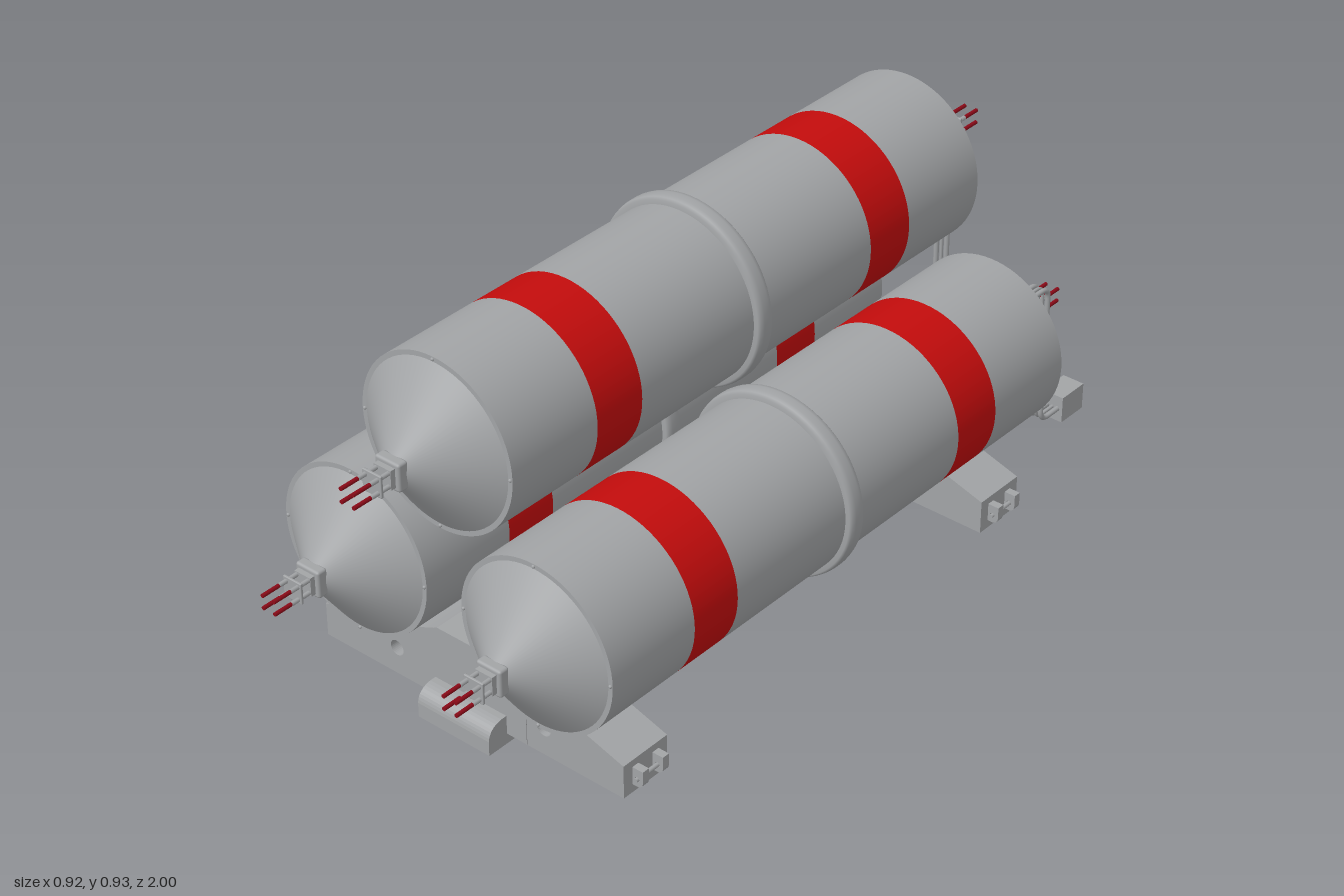
import * as THREE from 'three';
import { RoundedBoxGeometry } from 'three/addons/geometries/RoundedBoxGeometry.js';

const grey = new THREE.MeshStandardMaterial({ color: 0xa2a4a6 });
grey.name = 'grey steel';
const red = new THREE.MeshStandardMaterial({ color: 0xc40c0c });
red.name = 'red band';
const darkRed = new THREE.MeshStandardMaterial({ color: 0x8c0a18 });
darkRed.name = 'dark red terminal';

const R = 0.197;

function add(parent, name, geometry, material, x = 0, y = 0, z = 0) {
  const mesh = new THREE.Mesh(geometry, material);
  mesh.name = name;
  mesh.position.set(x, y, z);
  parent.add(mesh);
  return mesh;
}

// Open or closed cylinder running along z from z0 to z1
function zCylinder(r0, r1, z0, z1, sides = 72, open = true) {
  return new THREE.CylinderGeometry(r1, r0, z1 - z0, sides, 1, open)
    .rotateX(Math.PI / 2).translate(0, 0, (z0 + z1) / 2);
}

// Cone, terminal block and four wires, built facing +z from the shell edge
function tankEnd() {
  const end = new THREE.Group();
  add(end, 'endRim', new THREE.RingGeometry(0.186, R, 72), grey);
  add(end, 'endCone', zCylinder(0.186, 0.03, 0, 0.115), grey);
  for (let i = 0; i < 4; i++) {
    const a = i * Math.PI / 2;
    add(end, 'rivet', new THREE.SphereGeometry(0.004, 8, 6), grey, Math.cos(a) * 0.191, Math.sin(a) * 0.191, 0);
  }
  add(end, 'terminalBlock', new RoundedBoxGeometry(0.064, 0.064, 0.026, 2, 0.006), grey, 0, 0, 0.121);
  add(end, 'terminalNeck', new THREE.BoxGeometry(0.044, 0.044, 0.012), grey, 0, 0, 0.14);
  add(end, 'terminalPlate', new RoundedBoxGeometry(0.05, 0.05, 0.006, 2, 0.002), grey, 0, 0, 0.172);
  for (const x of [-0.016, 0.016]) {
    for (const y of [-0.015, 0.015]) {
      add(end, 'terminalRod', zCylinder(0.005, 0.005, 0.13, 0.195, 10, false), grey, x, y);
      add(end, 'terminalWire', zCylinder(0.0045, 0.0045, 0.195, 0.24, 10, false), darkRed, x, y);
    }
  }
  return end;
}

function tank(name, x, y) {
  const g = new THREE.Group();
  g.name = name;
  g.position.set(x, y, 0);
  const cuts = [-0.7, -0.46, -0.33, 0.39, 0.52, 0.76];
  for (let i = 0; i < 5; i++) {
    add(g, i % 2 ? 'redBand' : 'shell', zCylinder(R, R, cuts[i], cuts[i + 1]), i % 2 ? red : grey);
  }
  // Girth ring with rounded outer edges
  const ring = [[0.19, -0.022], [0.207, -0.022], [0.212, -0.017], [0.214, -0.008], [0.214, 0.008],
    [0.212, 0.017], [0.207, 0.022], [0.19, 0.022]].map(p => new THREE.Vector2(...p));
  add(g, 'girthRing', new THREE.LatheGeometry(ring, 72).rotateX(Math.PI / 2), grey, 0, 0, 0.028);
  const front = tankEnd();
  front.name = 'frontEnd';
  front.position.z = 0.76;
  const back = tankEnd();
  back.name = 'backEnd';
  back.position.z = -0.7;
  back.rotation.y = Math.PI;
  g.add(front, back);
  return g;
}

// Tube path of straight runs joined by rounded corners
function roundedPath(points, r) {
  const path = new THREE.CurvePath();
  let from = points[0];
  for (let i = 1; i < points.length - 1; i++) {
    const p = points[i];
    const a = p.clone().add(points[i - 1].clone().sub(p).setLength(r));
    const b = p.clone().add(points[i + 1].clone().sub(p).setLength(r));
    path.add(new THREE.LineCurve3(from, a));
    path.add(new THREE.QuadraticBezierCurve3(a, p, b));
    from = b;
  }
  path.add(new THREE.LineCurve3(from, points[points.length - 1]));
  return path;
}

// Three conduits dropping from a tank's back end to a junction box
function conduits(name, x, top) {
  const g = new THREE.Group();
  g.name = name;
  g.position.x = x;
  for (const [dx, r] of [[-0.014, 0.006], [0, 0.004], [0.014, 0.006]]) {
    const pts = [[top, -0.765], [top, -0.853], [0.072, -0.853], [0.072, -0.925]]
      .map(([y, z]) => new THREE.Vector3(dx, y, z));
    add(g, 'conduit', new THREE.TubeGeometry(roundedPath(pts, 0.028), 80, r, 8), grey);
  }
  add(g, 'conduitClamp', new THREE.BoxGeometry(0.058, 0.065, 0.022), grey, 0, 0.258, -0.853);
  add(g, 'junctionBox', new THREE.BoxGeometry(0.055, 0.065, 0.08), grey, 0, 0.072, -0.96);
  return g;
}

function support(name, z) {
  const g = new THREE.Group();
  g.name = name;
  g.position.z = z;

  // Cradle beam with two through holes
  const s = new THREE.Shape();
  s.moveTo(-0.41, 0.025);
  s.lineTo(0.41, 0.025);
  s.lineTo(0.41, 0.105);
  s.lineTo(0.25, 0.154);
  s.quadraticCurveTo(0.16, 0.162, 0.087, 0.2);
  s.lineTo(-0.087, 0.2);
  s.quadraticCurveTo(-0.16, 0.162, -0.25, 0.154);
  s.lineTo(-0.41, 0.105);
  s.closePath();
  for (const x of [-0.205, 0.2]) {
    s.holes.push(new THREE.Path().absarc(x, 0.091, 0.018, 0, Math.PI * 2, true));
  }
  const beam = new THREE.ExtrudeGeometry(s, { depth: 0.13, bevelEnabled: false, curveSegments: 16 });
  add(g, 'cradleBeam', beam.translate(0, 0, -0.065), grey);
  add(g, 'beamSeam', new THREE.BoxGeometry(0.003, 0.14, 0.133), grey, 0.152, 0.096, 0);

  // Foot with rounded upper edges
  const f = new THREE.Shape();
  f.moveTo(-0.118, 0);
  f.lineTo(0.118, 0);
  f.lineTo(0.118, 0.035);
  f.quadraticCurveTo(0.115, 0.066, 0.08, 0.07);
  f.lineTo(-0.08, 0.07);
  f.quadraticCurveTo(-0.115, 0.066, -0.118, 0.035);
  f.closePath();
  const foot = new THREE.ExtrudeGeometry(f, { depth: 0.196, bevelEnabled: false, curveSegments: 8 });
  add(g, 'foot', foot.translate(0, 0, -0.098).rotateY(Math.PI / 2), grey);

  // Paired lifting lugs and pin at each end of the beam
  const l = new THREE.Shape();
  l.moveTo(0, 0.045);
  l.lineTo(0.015, 0.045);
  l.quadraticCurveTo(0.028, 0.048, 0.028, 0.062);
  l.lineTo(0.028, 0.088);
  l.lineTo(0, 0.088);
  l.closePath();
  l.holes.push(new THREE.Path().absarc(0.013, 0.063, 0.006, 0, Math.PI * 2, true));
  for (const side of [0, Math.PI]) {
    const lugs = new THREE.Group();
    lugs.name = side ? 'rightLugs' : 'leftLugs';
    lugs.rotation.y = side;
    for (const dz of [-0.03, 0.03]) {
      const lug = new THREE.ExtrudeGeometry(l, { depth: 0.018, bevelEnabled: false });
      add(lugs, 'lug', lug.translate(0, 0, dz - 0.009), grey, 0.409);
    }
    add(lugs, 'lugPin', zCylinder(0.005, 0.005, -0.045, 0.045, 10, false), grey, 0.422, 0.063);
    g.add(lugs);
  }
  return g;
}

export function createModel() {
  const model = new THREE.Group();
  model.name = 'tankRack';
  model.add(
    tank('topTank', 0, 0.717),
    tank('leftTank', 0.244, 0.352),
    tank('rightTank', -0.244, 0.352),
    support('frontSupport', 0.633),
    support('backSupport', -0.537),
    conduits('topConduits', 0, 0.755),
    conduits('leftConduits', 0.279, 0.425),
    conduits('rightConduits', -0.281, 0.425),
  );
  return model;
}
